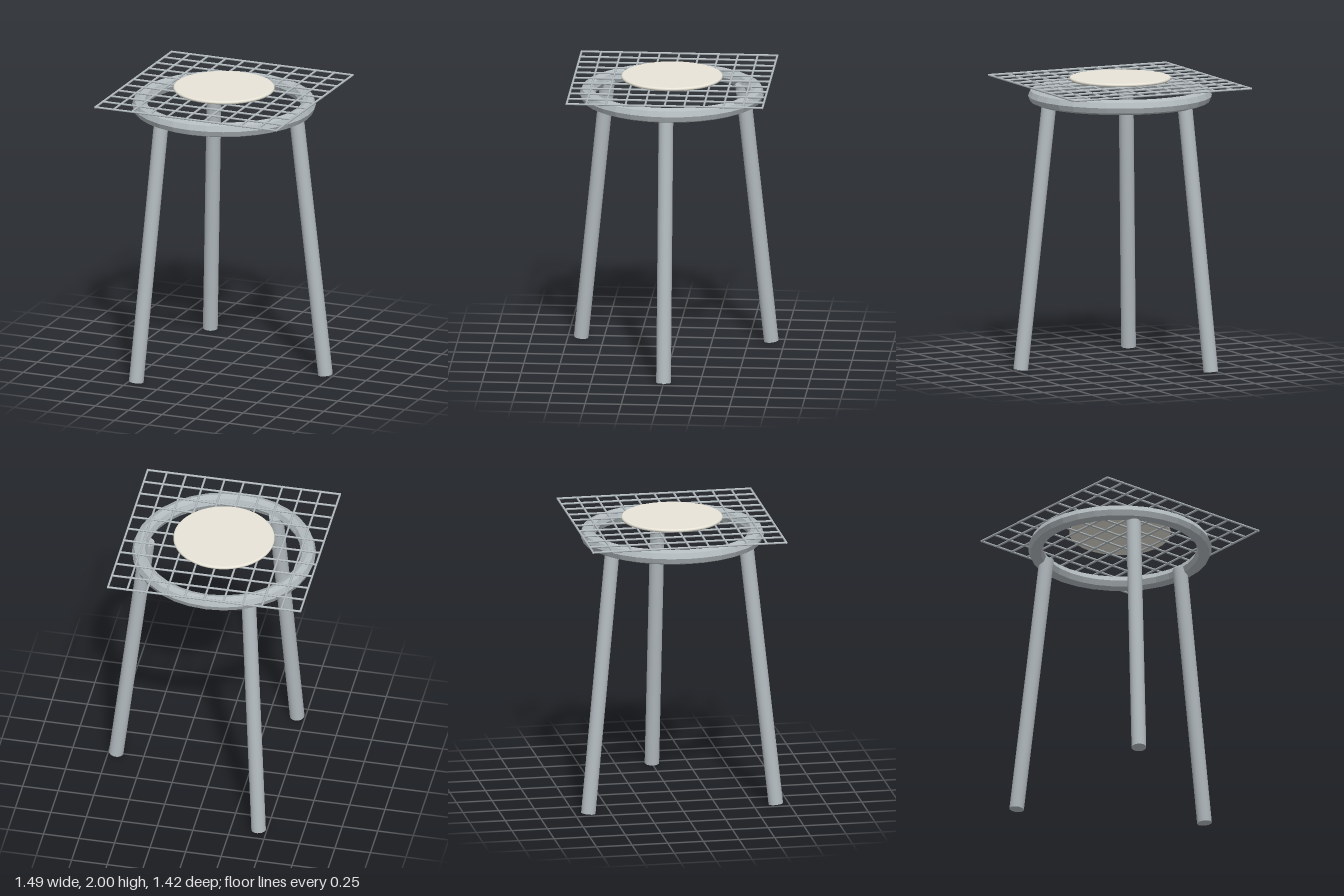
import * as THREE from 'three';

const metal = new THREE.MeshStandardMaterial({ color: 0xb4bcc0 });
const metalFaceted = new THREE.MeshStandardMaterial({ color: 0xb4bcc0, flatShading: true });
const cream = new THREE.MeshStandardMaterial({ color: 0xe8e4d8 });

// Round bar between two points
function bar(name, from, to, radius, sides) {
  const dir = to.clone().sub(from);
  const mesh = new THREE.Mesh(new THREE.CylinderGeometry(radius, radius, dir.length(), sides), metal);
  mesh.position.copy(from).addScaledVector(dir, 0.5);
  mesh.quaternion.setFromUnitVectors(new THREE.Vector3(0, 1, 0), dir.normalize());
  mesh.name = name;
  return mesh;
}

export function createModel() {
  const model = new THREE.Group();
  model.name = 'tripodStand';
  model.position.x = -0.064;

  // Three splayed legs, one pointing to +x
  const legs = new THREE.Group();
  legs.name = 'legs';
  for (let i = 0; i < 3; i++) {
    const a = (i * Math.PI * 2) / 3;
    const at = (r, y) => new THREE.Vector3(r * Math.cos(a), y, r * Math.sin(a));
    legs.add(bar('leg', at(0.759, 0.006), at(0.539, 1.87), 0.051, 16));
  }
  model.add(legs);

  // Faceted support ring
  const ring = new THREE.Mesh(new THREE.TorusGeometry(0.582, 0.053, 8, 32), metalFaceted);
  ring.rotation.x = Math.PI / 2;
  ring.position.y = 1.87;
  ring.name = 'supportRing';
  model.add(ring);

  // Square wire mesh: 11 wires each way
  const gauze = new THREE.Group();
  gauze.name = 'wireGauze';
  const half = 0.677, end = 0.682, y = 1.963;
  for (let i = 0; i <= 10; i++) {
    const p = -half + (i * half * 2) / 10;
    gauze.add(bar('wire', new THREE.Vector3(-end, y, p), new THREE.Vector3(end, y, p), 0.0075, 8));
    gauze.add(bar('wire', new THREE.Vector3(p, y, -end), new THREE.Vector3(p, y, end), 0.0075, 8));
  }
  model.add(gauze);

  // Thin pad with a rounded rim
  const shape = new THREE.Path();
  shape.moveTo(0, -0.012);
  shape.lineTo(0.338, -0.012);
  shape.absarc(0.338, 0, 0.012, -Math.PI / 2, Math.PI / 2, false);
  shape.lineTo(0, 0.012);
  const pad = new THREE.Mesh(new THREE.LatheGeometry(shape.getPoints(5), 48), cream);
  pad.position.y = 1.988;
  pad.name = 'heatPad';
  model.add(pad);

  const root = new THREE.Group();
  root.add(model);
  return root;
}
